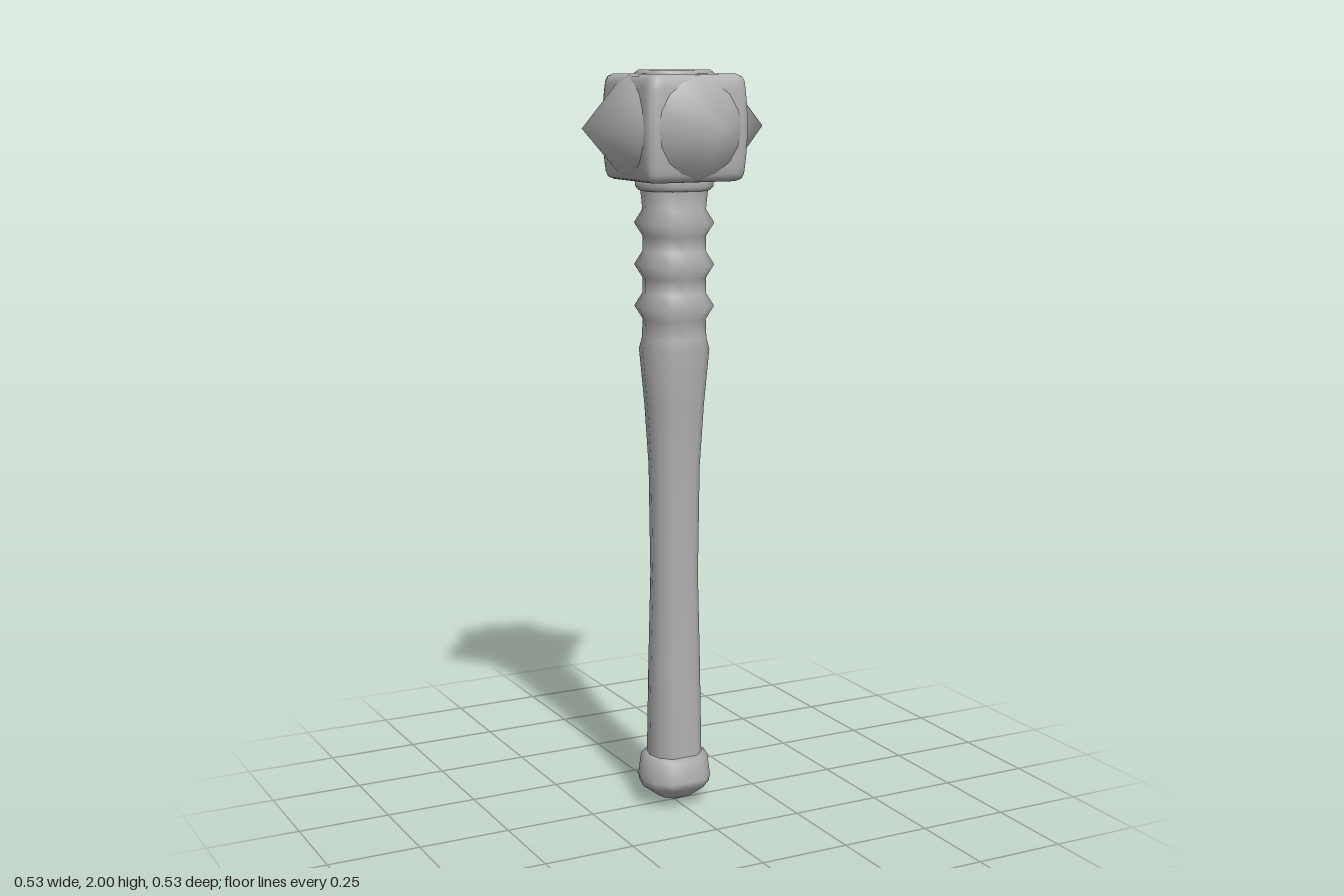
import * as THREE from 'three';
import { mergeVertices } from 'three/addons/utils/BufferGeometryUtils.js';

const metal = new THREE.MeshStandardMaterial({ color: 0xb0b0b0 });
metal.name = 'grey metal';

// Weld the vertices and give smooth normals
function smooth(geometry) {
  geometry.deleteAttribute('uv');
  geometry.deleteAttribute('normal');
  const welded = mergeVertices(geometry, 1e-4);
  welded.computeVertexNormals();
  return welded;
}

// Turned part with a twelve-step section, flattened at front and back
function turned(profile) {
  const geometry = new THREE.LatheGeometry(profile.map(([r, y]) => new THREE.Vector2(r, y)), 12);
  const p = geometry.attributes.position;
  for (let i = 0; i < p.count; i++) {
    if (Math.abs(p.getX(i)) < 1e-5) p.setZ(i, p.getZ(i) * Math.cos(Math.PI / 6));
  }
  return smooth(geometry);
}

// Block with rounded edges and sides that swell at mid height
function swollenBlock(half, halfY, radius, swell) {
  const geometry = new THREE.BoxGeometry(half * 2, halfY * 2, half * 2, 14, 14, 14);
  const p = geometry.attributes.position;
  const v = new THREE.Vector3();
  const inner = new THREE.Vector3();
  const limit = new THREE.Vector3(half - radius, halfY - radius, half - radius);
  const negative = limit.clone().negate();
  for (let i = 0; i < p.count; i++) {
    v.fromBufferAttribute(p, i);
    inner.copy(v).clamp(negative, limit);
    v.sub(inner).setLength(radius).add(inner);
    const k = 1 + swell * (1 - (v.y / halfY) ** 2);
    p.setXYZ(i, v.x * k, v.y, v.z * k);
  }
  return smooth(geometry);
}

export function createModel() {
  const group = new THREE.Group();
  const add = (name, geometry) => {
    const mesh = new THREE.Mesh(geometry, metal);
    mesh.name = name;
    group.add(mesh);
    return mesh;
  };

  // Pointed knob at the foot
  add('pommel', turned([[0, 0], [0.05, 0.02], [0.096, 0.055], [0.1, 0.075],
    [0.092, 0.135], [0.07, 0.145], [0, 0.145]]));

  // Waisted handle with three ridges under the head
  const shaft = [[0.076, 0.12], [0.071, 0.4], [0.065, 0.65], [0.069, 0.95],
    [0.08, 1.12], [0.094, 1.27], [0.086, 1.3]];
  for (const y of [1.385, 1.495, 1.605]) {
    shaft.push([0.084, y - 0.035], [0.106, y], [0.084, y + 0.035]);
  }
  shaft.push([0.09, 1.7]);
  add('handle', turned(shaft));

  // Collar and top cap
  add('collar', turned([[0, 1.69], [0.093, 1.69], [0.103, 1.7], [0.103, 1.73], [0, 1.73]]));
  add('topCap', turned([[0, 1.97], [0.103, 1.97], [0.103, 1.993], [0.094, 2], [0, 2]]));

  // Head block
  const middle = 1.853;
  add('head', swollenBlock(0.138, 0.137, 0.02, 0.065)).position.y = middle;

  // Four conical spikes
  const cone = new THREE.ConeGeometry(0.135, 0.135, 16, 1, true);
  cone.rotateX(Math.PI / 2).translate(0, 0, 0.265 - 0.135 / 2);
  const spike = smooth(cone);
  for (let i = 0; i < 4; i++) {
    const mesh = add('spike', spike);
    mesh.position.y = middle;
    mesh.rotation.y = i * Math.PI / 2;
  }
  return group;
}
